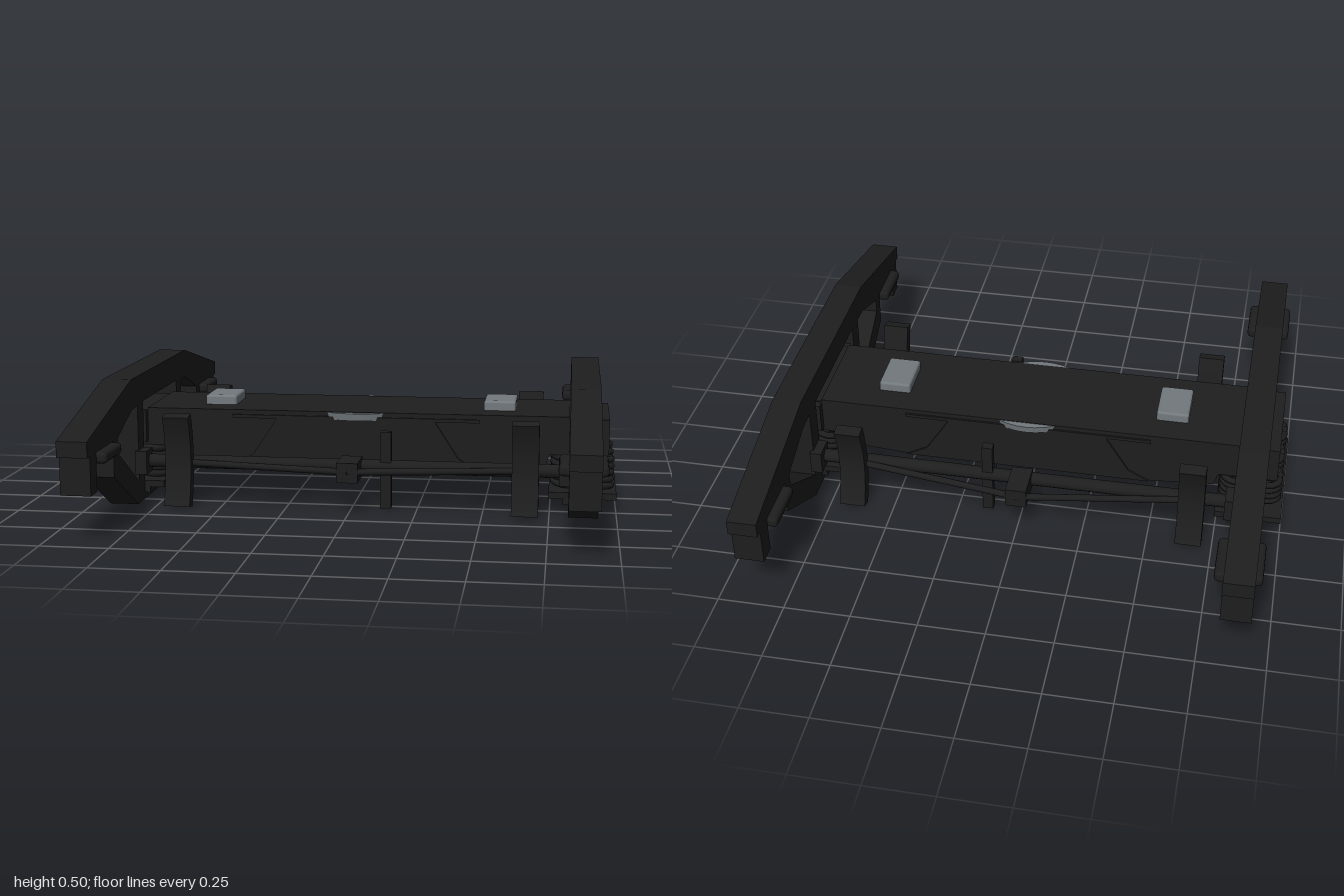
import * as THREE from 'three';
import { RoundedBoxGeometry } from 'three/addons/geometries/RoundedBoxGeometry.js';

const iron = new THREE.MeshStandardMaterial({ color: 0x1e1e1e, side: THREE.DoubleSide });
iron.name = 'darkIron';
const steel = new THREE.MeshStandardMaterial({ color: 0x72797d });
steel.name = 'wornSteel';

export function createModel() {
  const model = new THREE.Group();
  model.name = 'railBogie';

  const add = (name, geometry, material = iron) => {
    const mesh = new THREE.Mesh(geometry, material);
    mesh.name = name;
    model.add(mesh);
    return mesh;
  };
  // Box from its limits on each axis
  const box = (name, x0, x1, y0, y1, z0, z1) => {
    const g = new THREE.BoxGeometry(Math.abs(x1 - x0), y1 - y0, Math.abs(z1 - z0));
    return add(name, g.translate((x0 + x1) / 2, (y0 + y1) / 2, (z0 + z1) / 2));
  };
  // Straight round bar between two points
  const rod = (name, from, to, radius) => {
    const a = new THREE.Vector3(...from), b = new THREE.Vector3(...to);
    const mesh = add(name, new THREE.CylinderGeometry(radius, radius, a.distanceTo(b), 12));
    mesh.position.copy(a).add(b).multiplyScalar(0.5);
    mesh.quaternion.setFromUnitVectors(new THREE.Vector3(0, 1, 0), b.sub(a).normalize());
  };
  const points = (list, s = 1) => list.map(([u, v]) => new THREE.Vector2(u * s, v));
  // Outline given for one half, mirrored to make the whole
  const mirrored = (half) => new THREE.Shape([...points(half), ...points(half, -1).reverse()]);
  // Extrude a (z, y) outline across x
  const acrossX = (shape, x0, x1, curveSegments = 12) =>
    new THREE.ExtrudeGeometry(shape, { depth: x1 - x0, bevelEnabled: false, curveSegments })
      .rotateY(-Math.PI / 2).translate(x1, 0, 0);
  // Extrude an (x, y) outline along z, centred
  const alongZ = (shape, depth) =>
    new THREE.ExtrudeGeometry(shape, { depth, bevelEnabled: false }).translate(0, 0, -depth / 2);

  // Side frame outline with spring window and two triangular windows
  const frame = mirrored([
    [0.42, 0.497], [0.985, 0.367], [0.985, 0.31], [0.955, 0.31], [0.955, 0.17], [0.88, 0.17],
    [0.88, 0.31], [0.67, 0.31], [0.67, 0.175], [0.36, 0.003],
  ]);
  const triangle = [[0.615, 0.31], [0.615, 0.255], [0.34, 0.09], [0.34, 0.385], [0.42, 0.38]];
  frame.holes.push(
    new THREE.Path(points([[0.26, 0.03], [0.26, 0.39], [-0.26, 0.39], [-0.26, 0.03]])),
    new THREE.Path(points(triangle)),
    new THREE.Path(points(triangle, -1).reverse()),
  );

  // Spring coil
  const turns = 4.5;
  const coil = Array.from({ length: 73 }, (_, i) => {
    const t = i / 72, a = t * turns * Math.PI * 2;
    return new THREE.Vector3(Math.cos(a) * 0.049, 0.085 + t * 0.115, Math.sin(a) * 0.049);
  });
  const springGeometry = new THREE.TubeGeometry(new THREE.CatmullRomCurve3(coil), 110, 0.013, 6);

  // Brake shoe: arc around the missing wheel
  const arc = 0.42;
  const shoe = new THREE.Shape();
  shoe.absarc(0.784, 0.18, 0.42, Math.PI - arc, Math.PI + arc, false);
  shoe.absarc(0.784, 0.18, 0.467, Math.PI + arc * 0.95, Math.PI - arc * 0.95, true);

  for (const side of [-1, 1]) {
    add('sideFrame', acrossX(frame, side * 0.876 - 0.055, side * 0.876 + 0.055));
    box('springPlank', side * 0.745, side * 1, 0.05, 0.075, -0.26, 0.26);
    box('springPlankFoot', side * 0.8, side * 0.93, 0.028, 0.051, -0.262, 0.262);
    for (const x of [0.81, 0.932]) {
      for (const z of [-0.148, 0, 0.148]) {
        add('spring', springGeometry).position.set(side * x, 0, z);
      }
    }
    // Steel pad on the bolster
    add('sideBearer', new RoundedBoxGeometry(0.125, 0.045, 0.18, 2, 0.01), steel)
      .position.set(side * 0.55, 0.368, 0);

    for (const end of [-1, 1]) {
      add('bearingPad', new RoundedBoxGeometry(0.17, 0.042, 0.2, 2, 0.015))
        .position.set(side * 0.87, 0.29, end * 0.78);
      box('frictionWedge', side * 0.82, side * 0.93, 0.22, 0.34, end * 0.195, end * 0.225);
      box('beamGuide', side * 0.785, side * 0.83, 0.12, 0.21, end * 0.27, end * 0.36);

      const shoeMesh = add('brakeShoe', acrossX(shoe, -0.05, 0.05, 10));
      shoeMesh.position.x = side * 0.66;
      if (end < 0) shoeMesh.rotation.y = Math.PI;
      box('brakeHead', side * 0.625, side * 0.695, 0.12, 0.22, end * 0.28, end * 0.345);
      rod('trussRod', [side * 0.62, 0.165, end * 0.325], [0, 0.165, end * 0.42], 0.013);
    }
  }

  // Bolster, deeper in the middle
  add('bolster', alongZ(mirrored([
    [0.97, 0.345], [0.97, 0.205], [0.745, 0.205], [0.73, 0.155], [0.5, 0.138],
  ]), 0.39));
  box('bolsterTop', -0.82, 0.82, 0.335, 0.353, -0.197, 0.197);
  add('bolsterWeb', alongZ(mirrored([[0.3, 0.335], [0.4, 0.18], [0.48, 0.138]]), 0.406));
  box('bolsterFlange', -0.48, 0.48, 0.322, 0.335, -0.204, 0.204);

  // Centre plate peeping out past the bolster
  add('centrePlate', new THREE.CylinderGeometry(0.225, 0.22, 0.028, 40).translate(0, 0.337, 0), steel);

  // Brake beams, struts and levers
  for (const end of [-1, 1]) {
    rod('brakeBeam', [-0.8, 0.165, end * 0.301], [0.8, 0.165, end * 0.301], 0.026);
    box('beamStrut', -0.04, 0.04, 0.125, 0.2, end * 0.285, end * 0.43);
    box('brakeLever', 0.112, 0.153, 0.006, 0.3, end * 0.282, end * 0.318);
  }
  rod('leverLink', [0.132, 0.128, -0.3], [0.132, 0.128, 0.3], 0.012);

  return model;
}
